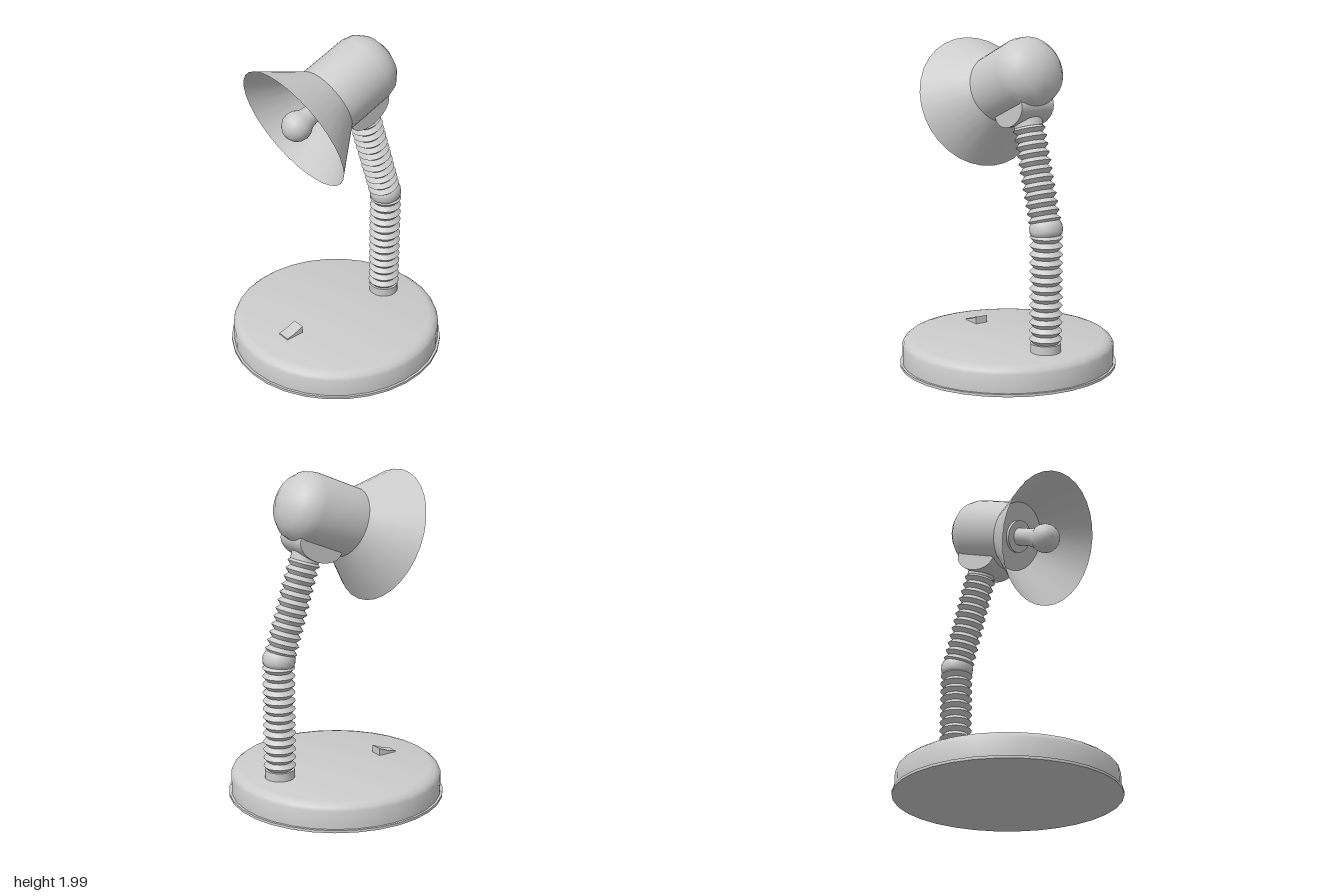
import * as THREE from 'three';
import { toCreasedNormals } from 'three/addons/utils/BufferGeometryUtils.js';

const grey = new THREE.MeshStandardMaterial({ color: 0xcccccc });
const greyDouble = new THREE.MeshStandardMaterial({ color: 0xcccccc, side: THREE.DoubleSide });

function part(name, geometry, parent, material = grey) {
  const mesh = new THREE.Mesh(geometry, material);
  mesh.name = name;
  parent.add(mesh);
  return mesh;
}

// Turned solid from [radius, height] pairs, with hard edges kept sharp
function turned(points, sides = 32, crease = 0.6) {
  const profile = points.map(([r, y]) => new THREE.Vector2(r, y));
  return toCreasedNormals(new THREE.LatheGeometry(profile, sides), crease);
}

// Corrugated tube from y0 to y1
function bellows(y0, y1, ridges) {
  const step = (y1 - y0) / ridges;
  const points = [[0.073, y0]];
  for (let i = 0; i < ridges; i++) {
    points.push([0.097, y0 + (i + 0.5) * step], [0.073, y0 + (i + 1) * step]);
  }
  return turned(points, 24);
}

export function createModel() {
  const lamp = new THREE.Group();
  lamp.name = 'deskLamp';

  // Round base with a thin foot rim and softened top edge
  part('base', turned([
    [0, 0], [0.66, 0], [0.66, 0.016], [0.645, 0.016], [0.645, 0.125],
    [0.636, 0.145], [0.615, 0.162], [0.585, 0.17], [0, 0.17],
  ]), lamp);

  // Wedge-shaped rocker switch on a thin plate
  const wedge = new THREE.Shape();
  wedge.moveTo(0.42, 0.165);
  wedge.lineTo(0.42, 0.178);
  wedge.lineTo(0.375, 0.186);
  wedge.lineTo(0.3, 0.216);
  wedge.lineTo(0.3, 0.165);
  const rocker = new THREE.ExtrudeGeometry(wedge, { depth: 0.08, bevelEnabled: false });
  rocker.translate(0, 0, -0.04).rotateY(-Math.PI / 2);
  part('switch', rocker, lamp);

  // Lower, upright half of the flexible neck
  const lowerNeck = new THREE.Group();
  lowerNeck.name = 'lowerNeck';
  lowerNeck.position.z = -0.4;
  lamp.add(lowerNeck);
  part('neckCollar', turned([[0, 0.16], [0.09, 0.16], [0.09, 0.222], [0, 0.222]], 24), lowerNeck);
  part('lowerBellows', bellows(0.22, 0.88, 13), lowerNeck);

  // Smooth elbow between the two halves
  const elbow = part('elbow', turned([
    [0.073, -0.045], [0.092, -0.03], [0.097, -0.01], [0.097, 0.02], [0.088, 0.04], [0.073, 0.055],
  ], 24, 1.2), lamp);
  elbow.position.set(0, 0.9, -0.398);
  elbow.rotation.x = 0.15;

  // Upper half, leaning forward
  const upperNeck = new THREE.Group();
  upperNeck.name = 'upperNeck';
  upperNeck.position.set(0, 0.9, -0.398);
  upperNeck.rotation.x = THREE.MathUtils.degToRad(17.4);
  lamp.add(upperNeck);
  part('upperBellows', bellows(0.03, 0.61, 12), upperNeck);
  part('topCollar', turned([[0, 0.6], [0.085, 0.6], [0.085, 0.7], [0, 0.7]], 24), upperNeck);

  // Head: local +z runs out through the mouth of the shade
  const head = new THREE.Group();
  head.name = 'head';
  head.position.set(0, 1.67, 0.074);
  head.rotation.x = THREE.MathUtils.degToRad(22.3);
  lamp.add(head);

  // Housing: domed back, straight barrel, flat front
  const housing = [];
  for (let i = 0; i <= 4; i++) {
    const a = (i / 4) * Math.PI / 2;
    housing.push([0.212 * Math.sin(a), -0.31 - 0.165 * Math.cos(a)]);
  }
  housing.push([0.212, 0], [0, 0]);
  part('housing', turned(housing).rotateX(Math.PI / 2), head);

  // Open conical shade
  const cone = new THREE.CylinderGeometry(0.408, 0.212, 0.262, 32, 1, true);
  part('shade', cone.translate(0, 0.131, 0).rotateX(Math.PI / 2), head, greyDouble);

  // Socket ring and pear-shaped bulb
  part('socket', turned([[0, -0.01], [0.1, -0.01], [0.1, 0.02], [0, 0.02]], 24).rotateX(Math.PI / 2), head);
  const bulb = [[0.054, 0], [0.054, 0.11]];
  for (let i = 2; i <= 8; i++) {
    const a = (i / 8) * Math.PI;
    bulb.push([0.09 * Math.sin(a), 0.23 - 0.09 * Math.cos(a)]);
  }
  part('bulb', turned(bulb, 24, 1.2).rotateX(Math.PI / 2), head);

  // Rounded mounting lug under the housing
  const lug = new THREE.CylinderGeometry(0.15, 0.15, 0.22, 24);
  lug.rotateZ(Math.PI / 2).scale(1, 0.62, 1);
  part('mountingLug', lug, head).position.set(0, -0.185, -0.187);

  return lamp;
}
